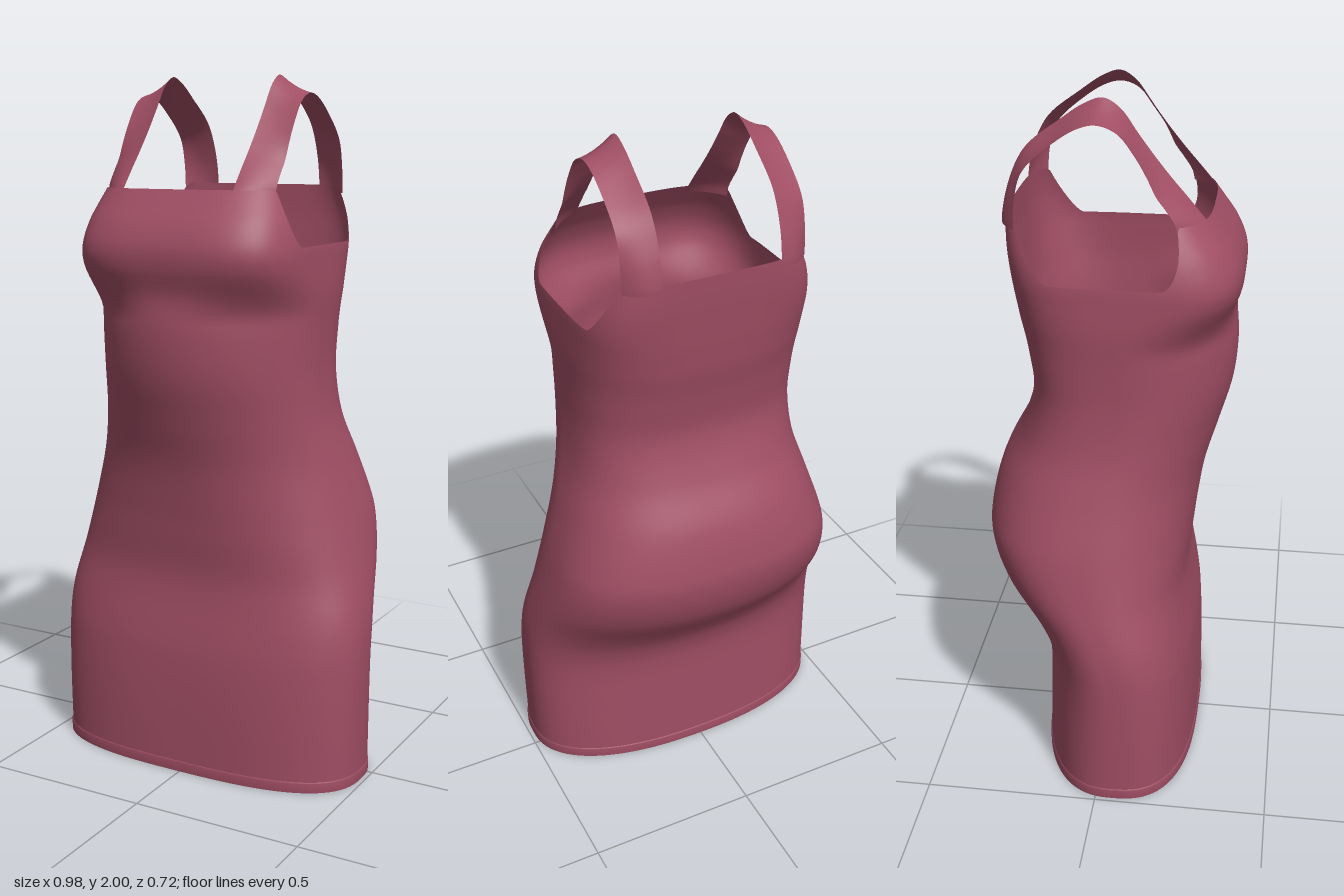
import * as THREE from 'three';

// Body profile: height, half width, front z, back z, z of the side seam
const PROFILE = [
  [0, 0.484, 0.265, -0.192, 0.04],
  [0.2, 0.488, 0.264, -0.19, 0.04],
  [0.36, 0.49, 0.256, -0.192, 0.035],
  [0.44, 0.488, 0.245, -0.212, 0.025],
  [0.5, 0.482, 0.235, -0.247, 0.01],
  [0.57, 0.47, 0.227, -0.298, -0.02],
  [0.62, 0.46, 0.228, -0.328, -0.04],
  [0.7, 0.443, 0.237, -0.354, -0.058],
  [0.78, 0.424, 0.246, -0.36, -0.06],
  [0.92, 0.382, 0.268, -0.328, -0.025],
  [1.05, 0.347, 0.305, -0.262, 0.025],
  [1.18, 0.333, 0.34, -0.223, 0.045],
  [1.3, 0.334, 0.35, -0.235, 0.045],
  [1.4, 0.339, 0.343, -0.255, 0.04],
  [1.44, 0.339, 0.35, -0.26, 0.04],
  [1.48, 0.338, 0.361, -0.265, 0.04],
  [1.54, 0.335, 0.361, -0.271, 0.04],
  [1.6, 0.322, 0.337, -0.277, 0.04],
  [1.65, 0.304, 0.303, -0.28, 0.04],
  [1.7, 0.283, 0.267, -0.282, 0.04],
];

// Smooth (Hermite) reading of one profile column at a height
function profileAt(y, col) {
  let i = 0;
  while (i < PROFILE.length - 2 && PROFILE[i + 1][0] < y) i++;
  const slope = (k) => {
    const a = PROFILE[Math.max(k - 1, 0)], b = PROFILE[Math.min(k + 1, PROFILE.length - 1)];
    return (b[col] - a[col]) / (b[0] - a[0]);
  };
  const p = PROFILE[i], q = PROFILE[i + 1], h = q[0] - p[0], t = (y - p[0]) / h;
  return p[col] * (1 + 2 * t) * (1 - t) ** 2 + slope(i) * h * t * (1 - t) ** 2
    + q[col] * t * t * (3 - 2 * t) + slope(i + 1) * h * t * t * (t - 1);
}

// Squareness of the section: round at the waist, boxy at the bust and upper back
const rise = THREE.MathUtils.smoothstep;
const frontPower = (y) => 2.8 - 0.85 * rise(y, 0.45, 1.1) + 1.65 * rise(y, 1.34, 1.52);
const backPower = (y) => 2.3 - 0.2 * rise(y, 0, 0.4) + 0.45 * rise(y, 0.52, 0.78)
  + 0.65 * rise(y, 0.9, 1.25) + 1.8 * rise(y, 1.35, 1.69);

// Point on the rounded-box cross-section at a height and angle
function bodyPoint(y, angle, grow = 0) {
  const c = Math.cos(angle), s = Math.sin(angle), front = s >= 0;
  const zc = profileAt(y, 4);
  const n = front ? frontPower(y) : backPower(y);
  const k = (Math.abs(c) ** n + Math.abs(s) ** n) ** (-1 / n);
  const depth = Math.abs(profileAt(y, front ? 2 : 3) - zc) + grow;
  return [(profileAt(y, 1) + grow) * c * k, y, zc + depth * s * k];
}

// Neckline in front and back, dropping to the armholes at the sides
function topEdge(angle) {
  const s = Math.sin(angle);
  const deg = THREE.MathUtils.radToDeg(Math.atan2(Math.abs(s), Math.abs(Math.cos(angle))));
  const [from, to] = s >= 0 ? [21, 35] : [31, 44];
  const u = THREE.MathUtils.clamp((deg - from) / (to - from), 0, 1);
  return 1.54 + 0.152 * u ** 1.6;
}

// Grid surface from point(i, j); columns may close into a ring
function gridGeometry(rows, cols, closed, point) {
  const pos = [], index = [], w = closed ? cols : cols + 1;
  for (let i = 0; i <= rows; i++) for (let j = 0; j < w; j++) pos.push(...point(i, j));
  for (let i = 0; i < rows; i++) {
    for (let j = 0; j < cols; j++) {
      const a = i * w + j, b = i * w + (j + 1) % w, c = a + w, d = b + w;
      index.push(a, c, b, b, c, d);
    }
  }
  const g = new THREE.BufferGeometry();
  g.setAttribute('position', new THREE.Float32BufferAttribute(pos, 3));
  g.setIndex(index);
  g.computeVertexNormals();
  return g;
}

// Strap edges as [y, z], from the front neckline over the shoulder to the back
const STRAP_INNER = [[1.67, 0.276], [1.7, 0.251], [1.75, 0.209], [1.79, 0.174], [1.85, 0.125], [1.91, 0.08],
  [1.975, 0.032], [2, -0.012], [1.985, -0.06], [1.94, -0.127], [1.865, -0.22], [1.77, -0.266],
  [1.69, -0.28], [1.67, -0.28]];
const STRAP_OUTER = [[1.67, 0.194], [1.7, 0.186], [1.735, 0.163], [1.77, 0.137], [1.82, 0.112], [1.87, 0.083],
  [1.93, 0.035], [1.95, -0.018], [1.94, -0.065], [1.9, -0.13], [1.825, -0.21], [1.755, -0.232],
  [1.69, -0.238], [1.67, -0.238]];
const edgeCurve = (pts, x) => new THREE.CatmullRomCurve3(pts.map(([y, z]) => new THREE.Vector3(x, y, z)));

function strapGeometry(side) {
  const inner = edgeCurve(STRAP_INNER, 0.172), outer = edgeCurve(STRAP_OUTER, 0.266);
  const rows = 78, cols = 6;
  return gridGeometry(rows, cols, false, (i, j) => {
    const u = side > 0 ? j / cols : 1 - j / cols, t = i / rows;
    const p = inner.getPoint(t).lerp(outer.getPoint(t), u);
    // the band dips a little between its edges on top of the shoulder
    p.y -= 0.03 * u * (1 - u) * rise(p.y, 1.75, 1.95);
    // and follows the rounded chest and back where it joins them
    p.z += Math.sign(p.z) * 0.06 * u * (1 - u) * (1 - rise(p.y, 1.67, 1.85));
    return [side * p.x, p.y, p.z];
  });
}

export function createModel() {
  const group = new THREE.Group();
  const fabric = new THREE.MeshStandardMaterial({ color: 0xa04e64, side: THREE.DoubleSide });
  fabric.name = 'rose fabric';
  const add = (name, geometry) => {
    const mesh = new THREE.Mesh(geometry, fabric);
    mesh.name = name;
    group.add(mesh);
  };

  // Fitted body, open at the hem and the top
  const cols = 240, lower = 80, upper = 18, split = 1.5;
  add('dressBody', gridGeometry(lower + upper, cols, true, (i, j) => {
    const angle = (j / cols) * Math.PI * 2;
    const y = i <= lower ? (split * i) / lower
      : split + (topEdge(angle) - split) * ((i - lower) / upper);
    return bodyPoint(y, angle);
  }));

  // Narrow turned hem
  const hem = [[0, 0], [0, 0.003], [0.028, 0.003], [0.031, 0]];
  add('hem', gridGeometry(hem.length - 1, cols, true, (i, j) =>
    bodyPoint(hem[i][0], (j / cols) * Math.PI * 2, hem[i][1])));

  // Shoulder straps
  add('leftStrap', strapGeometry(1));
  add('rightStrap', strapGeometry(-1));
  return group;
}
